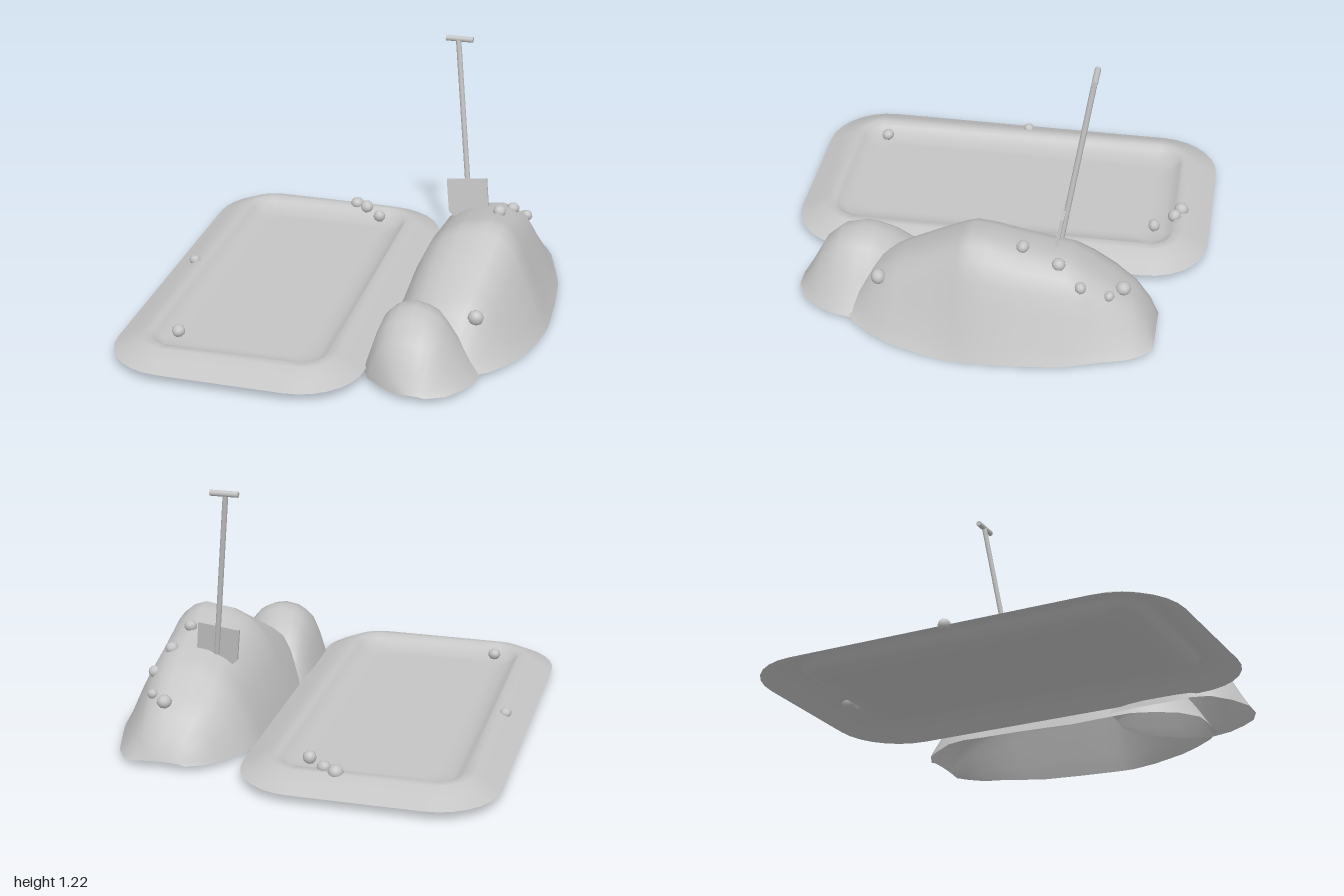
import * as THREE from 'three';

const grey = new THREE.MeshStandardMaterial({ color: 0xc4c4c4, side: THREE.DoubleSide });
grey.name = 'plain grey';

function addMesh(parent, name, geometry) {
  const mesh = new THREE.Mesh(geometry, grey);
  mesh.name = name;
  parent.add(mesh);
  return mesh;
}

// Smooth skin over rows of [x, y, z] points; closed joins each row into a ring
function skin(rows, closed) {
  const n = rows[0].length, index = [];
  for (let i = 0; i < rows.length - 1; i++) {
    for (let j = 0; j < (closed ? n : n - 1); j++) {
      const k = (j + 1) % n;
      const a = i * n + j, b = a + n, c = i * n + k, d = c + n;
      index.push(a, b, c, c, b, d);
    }
  }
  const g = new THREE.BufferGeometry();
  g.setAttribute('position', new THREE.Float32BufferAttribute(rows.flat(2), 3));
  g.setIndex(index);
  g.computeVertexNormals();
  return g;
}

// Rounded rectangle ring of the pit, drawn in from the outer edge
function pitRing(inset, y) {
  const a = 0.585 - inset, b = 1 - inset, r = Math.max(0.29 - inset, 0.09), ring = [];
  for (let q = 0; q < 4; q++) {
    const sx = q === 0 || q === 3 ? 1 : -1, sz = q < 2 ? 1 : -1;
    for (let k = 0; k <= 7; k++) {
      const t = (q + k / 7) * Math.PI / 2;
      ring.push([-0.355 + sx * (a - r) + r * Math.cos(t), y, sz * (b - r) + r * Math.sin(t)]);
    }
  }
  return ring;
}

// Flank profiles: [fraction from edge to ridge, fraction of height]
const leftFlank = [[0, 0], [0.07, 0.2], [0.18, 0.47], [0.33, 0.74], [0.5, 0.87], [0.7, 0.96]];
const rightFlank = [[1, 1], [0.8, 0.96], [0.62, 0.87], [0.48, 0.7], [0.34, 0.5], [0.14, 0.18], [0, 0]];

// Hollow earth heap from stations [z, left x, ridge x, right x, ridge height, base height]
function heap(stations) {
  return skin(stations.map(([z, l, m, r, h, base]) => [
    ...leftFlank.map(([s, f]) => [l + (m - l) * s, base + (h - base) * f, z]),
    ...rightFlank.map(([s, f]) => [r + (m - r) * s, base + (h - base) * f, z]),
  ]), false);
}

export function createModel() {
  const model = new THREE.Group();
  model.name = 'dugPitWithEarthHeaps';

  // Shallow pit with a raised rim
  const profile = [[0, 0.045], [0.06, 0.075], [0.125, 0.107], [0.165, 0.11],
    [0.185, 0.09], [0.22, 0.068], [0.27, 0.058], [0.3, 0.057]];
  const rings = profile.map(([inset, y]) => pitRing(inset, y));
  rings.push(rings[0].map(() => [-0.355, 0.057, 0]));
  addMesh(model, 'pit', skin(rings, true));

  // Large heap beside the pit
  addMesh(model, 'largeHeap', heap([
    [-0.81, 0.47, 0.58, 0.73, 0.04, 0.03],
    [-0.77, 0.39, 0.59, 0.78, 0.13, 0.03],
    [-0.7, 0.33, 0.6, 0.82, 0.22, 0.025],
    [-0.6, 0.265, 0.61, 0.85, 0.29, 0.025],
    [-0.5, 0.235, 0.62, 0.88, 0.36, 0.02],
    [-0.41, 0.23, 0.62, 0.905, 0.415, 0.015],
    [-0.2, 0.225, 0.63, 0.925, 0.455, 0.01],
    [-0.05, 0.225, 0.64, 0.93, 0.495, 0.005],
    [0.03, 0.225, 0.64, 0.93, 0.503, 0.002],
    [0.08, 0.225, 0.63, 0.925, 0.48, 0],
    [0.2, 0.23, 0.6, 0.91, 0.405, 0.005],
    [0.36, 0.25, 0.58, 0.87, 0.31, 0.015],
    [0.46, 0.3, 0.57, 0.82, 0.25, 0.02],
    [0.55, 0.37, 0.57, 0.76, 0.13, 0.025],
    [0.61, 0.47, 0.57, 0.69, 0.035, 0.03],
  ]));

  // Small heap in front of it
  addMesh(model, 'smallHeap', heap([
    [0.24, 0.24, 0.33, 0.42, 0.04, 0.02],
    [0.29, 0.225, 0.36, 0.54, 0.13, 0.02],
    [0.36, 0.215, 0.38, 0.61, 0.22, 0.02],
    [0.44, 0.21, 0.4, 0.67, 0.28, 0.02],
    [0.52, 0.21, 0.415, 0.705, 0.315, 0.02],
    [0.58, 0.21, 0.42, 0.72, 0.322, 0.02],
    [0.67, 0.215, 0.43, 0.71, 0.3, 0.025],
    [0.75, 0.25, 0.44, 0.675, 0.23, 0.03],
    [0.82, 0.34, 0.46, 0.62, 0.1, 0.03],
    [0.86, 0.43, 0.48, 0.54, 0.035, 0.03],
  ]));

  // Spade stuck into the large heap, leaning back
  const foot = new THREE.Vector3(0.463, 0.4, -0.355);
  const top = new THREE.Vector3(0.365, 1.2, -0.475);
  const lean = top.clone().sub(foot);
  const spade = new THREE.Group();
  spade.name = 'spade';
  spade.position.copy(foot);
  spade.quaternion.setFromUnitVectors(new THREE.Vector3(0, 1, 0), lean.clone().normalize());
  model.add(spade);
  const shaft = addMesh(spade, 'shaft', new THREE.CylinderGeometry(0.013, 0.013, lean.length(), 8));
  shaft.position.y = lean.length() / 2;
  const outline = new THREE.Shape([[-0.098, 0.14], [-0.098, -0.02], [0, -0.13], [0.098, -0.02], [0.098, 0.14]]
    .map(([x, y]) => new THREE.Vector2(x, y)));
  const blade = addMesh(spade, 'blade', new THREE.ExtrudeGeometry(outline, { depth: 0.015, bevelEnabled: false }));
  blade.position.z = 0.005;
  const grip = addMesh(model, 'grip', new THREE.CylinderGeometry(0.014, 0.014, 0.13, 8));
  grip.rotation.z = Math.PI / 2;
  grip.position.set(0.37, 1.205, -0.477);

  // Loose stones: [x, y, z, radius]
  const stones = [
    [0.615, 0.265, -0.655, 0.035], [0.69, 0.272, -0.6, 0.025], [0.725, 0.33, -0.475, 0.028],
    [0.675, 0.41, -0.37, 0.031], [0.64, 0.462, -0.205, 0.031], [0.67, 0.235, 0.45, 0.037],
    [-0.235, 0.113, -0.855, 0.035], [-0.175, 0.113, -0.825, 0.033], [-0.085, 0.11, -0.735, 0.031],
    [-0.83, 0.104, -0.015, 0.028], [-0.65, 0.108, 0.695, 0.031],
  ];
  stones.forEach(([x, y, z, r], i) => {
    const stone = addMesh(model, 'stone', new THREE.IcosahedronGeometry(r, 1));
    stone.position.set(x, y, z);
    stone.rotation.set(i, i * 1.7, 0);
    stone.scale.y = 0.9;
  });
  return model;
}
